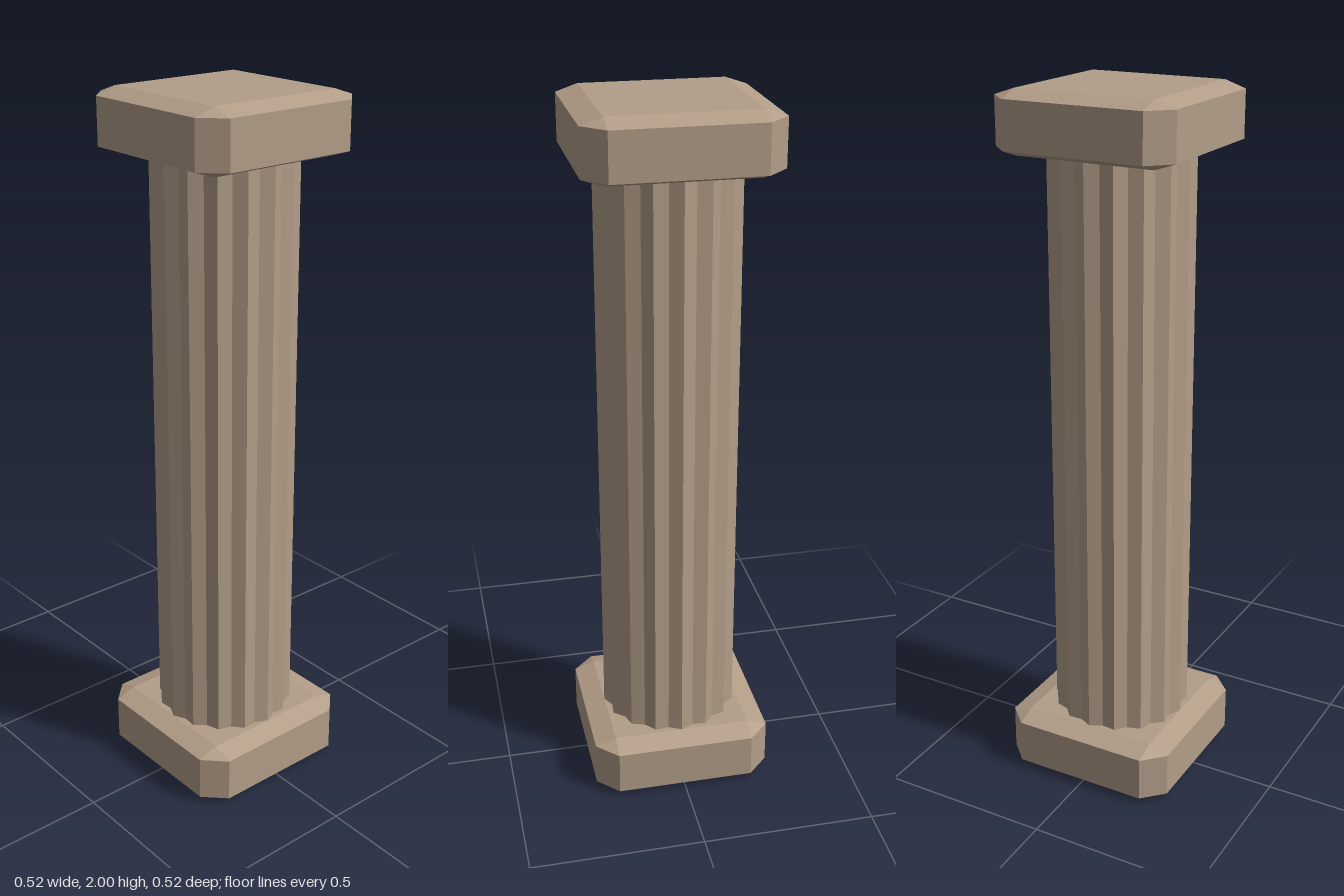
import * as THREE from 'three';
import { ConvexGeometry } from 'three/addons/geometries/ConvexGeometry.js';

const SLAB_HEIGHT = 0.17;
const HEIGHT = 2;

// Square block with every edge and corner chamfered.
function slabGeometry(inner, outer, height, bevel) {
  const points = [];
  const h = height / 2;
  for (const sx of [-1, 1]) for (const sy of [-1, 1]) for (const sz of [-1, 1]) {
    points.push(
      new THREE.Vector3(sx * inner, sy * h, sz * inner),
      new THREE.Vector3(sx * outer, sy * (h - bevel), sz * inner),
      new THREE.Vector3(sx * inner, sy * (h - bevel), sz * outer)
    );
  }
  return new ConvexGeometry(points);
}

// Cylinder whose every second edge is pulled in to form V-shaped flutes.
function flutedShaftGeometry(ridgeRadius, grooveRadius, height, flutes) {
  const sides = flutes * 2;
  const geometry = new THREE.CylinderGeometry(ridgeRadius, ridgeRadius, height, sides, 1, true);
  const pos = geometry.attributes.position;
  for (let i = 0; i < pos.count; i++) {
    const step = i % (sides + 1);
    if (step % 2 === 1) {
      const k = grooveRadius / ridgeRadius;
      pos.setX(i, pos.getX(i) * k);
      pos.setZ(i, pos.getZ(i) * k);
    }
  }
  const flat = geometry.toNonIndexed();
  flat.computeVertexNormals();
  return flat;
}

export function createModel() {
  const model = new THREE.Group();
  model.name = 'column';
  const stone = new THREE.MeshStandardMaterial({ color: 0xb39e88, flatShading: true });
  stone.name = 'stone';

  const add = (name, geometry, y) => {
    const mesh = new THREE.Mesh(geometry, stone);
    mesh.name = name;
    mesh.position.y = y;
    model.add(mesh);
  };

  // Matching base and capital
  const slab = slabGeometry(0.2, 0.26, SLAB_HEIGHT, 0.02);
  add('base', slab, SLAB_HEIGHT / 2);
  add('capital', slab, HEIGHT - SLAB_HEIGHT / 2);

  // Fluted shaft between them
  add('shaft', flutedShaftGeometry(0.2, 0.185, HEIGHT - 2 * SLAB_HEIGHT, 16), HEIGHT / 2);

  return model;
}
